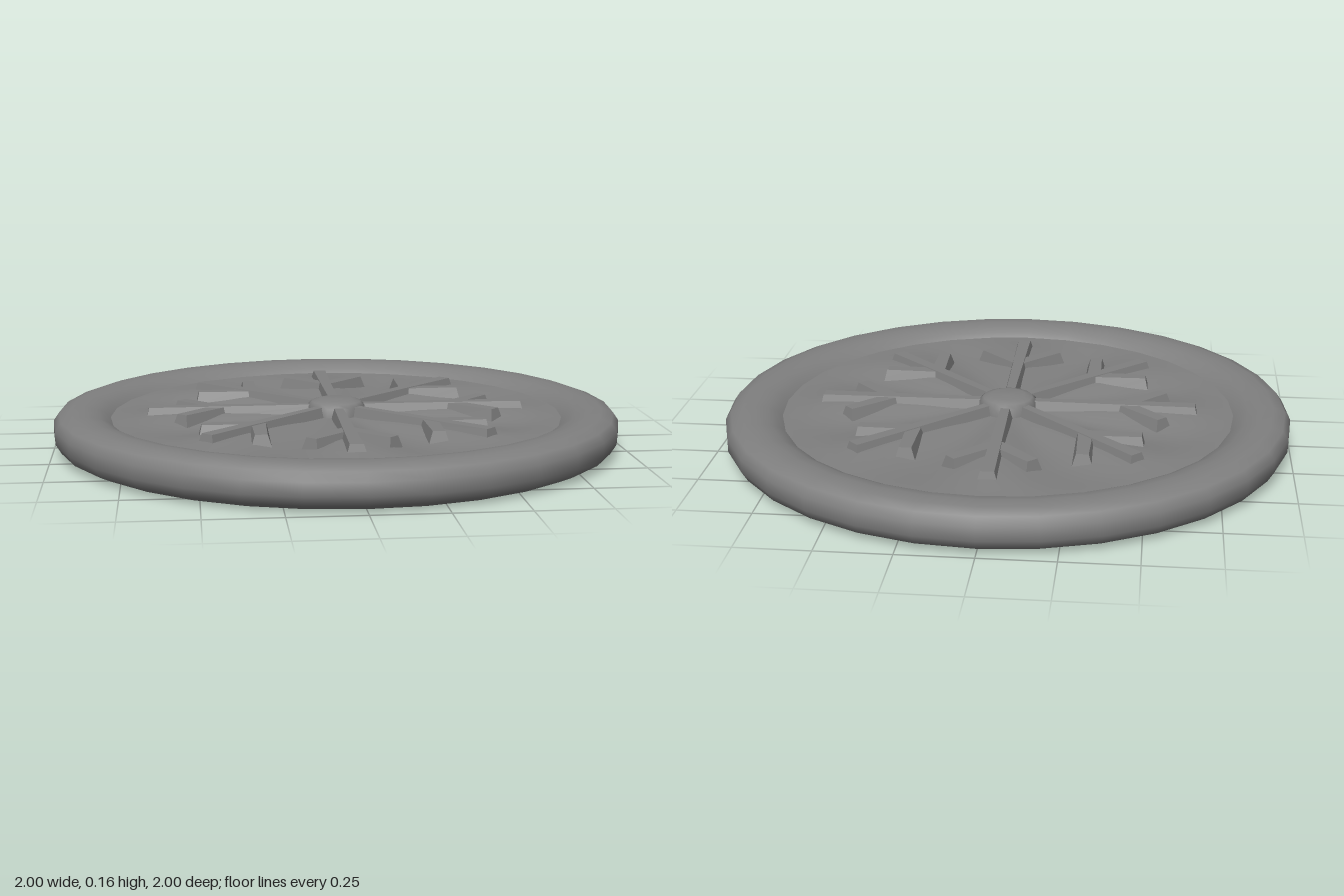
import * as THREE from 'three';
import { toCreasedNormals } from 'three/addons/utils/BufferGeometryUtils.js';

const metal = new THREE.MeshStandardMaterial({ color: 0x808080 });
metal.name = 'grey metal';

const ARMS = 8;
const FLOOR = 0.1; // height of the sunken field between the arms

function part(name, geometry) {
  const mesh = new THREE.Mesh(geometry, metal);
  mesh.name = name;
  return mesh;
}

function lathe(points, segments) {
  return new THREE.LatheGeometry(points.map(([r, y]) => new THREE.Vector2(r, y)), segments);
}

// Rounded rim, from the underside recess round to the top recess
function makeRim() {
  const profile = [
    [0.81, 0.024], [0.835, 0.008], [0.88, 0], [0.94, 0.003], [0.98, 0.022], [1, 0.055],
    [1, 0.1], [0.98, 0.129], [0.94, 0.143], [0.89, 0.145], [0.85, 0.138], [0.82, 0.124], [0.8, 0.108],
  ];
  return part('rim', lathe(profile, 32));
}

// Sunken field that swells gently towards each arm
function makeField() {
  const radii = [0.81, 0.74, 0.66, 0.55, 0.42, 0.3, 0.18, 0.08, 0];
  const geometry = lathe(radii.map((r) => [r, FLOOR + 0.008]), 64);
  const pos = geometry.attributes.position;
  for (let i = 0; i < pos.count; i++) {
    const x = pos.getX(i), z = pos.getZ(i), r = Math.hypot(x, z);
    const fade = THREE.MathUtils.smoothstep(r, 0.1, 0.4) * (1 - THREE.MathUtils.smoothstep(r, 0.6, 0.78));
    const wave = Math.cos(ARMS * Math.atan2(z, x));
    pos.setY(i, FLOOR + 0.008 + fade * 0.014 * wave);
  }
  geometry.computeVertexNormals();
  return part('field', geometry);
}

// Underside with a small round hollow in the middle
function makeUnderside() {
  const profile = [[0, 0.05], [0.06, 0.046], [0.09, 0.034], [0.1, 0.024], [0.104, 0.024], [0.45, 0.024], [0.81, 0.024]];
  return part('underside', toCreasedNormals(lathe(profile, 32), 0.4));
}

// Bar with sloping sides between two points given as [outward, sideways]
function makeRidge(name, [u0, v0], [u1, v1], w0, w1, top) {
  const length = Math.hypot(u1 - u0, v1 - v0);
  const geometry = new THREE.BoxGeometry(length, 1, 1);
  const pos = geometry.attributes.position;
  for (let i = 0; i < pos.count; i++) {
    const upper = pos.getY(i) > 0;
    const outer = pos.getX(i) > 0;
    const half = (outer ? w1 : w0) + (upper ? 0 : 0.016);
    pos.setX(i, outer ? length + (upper ? 0 : 0.012) : 0);
    pos.setY(i, upper ? top : FLOOR - 0.012);
    pos.setZ(i, Math.sign(pos.getZ(i)) * half);
  }
  geometry.computeVertexNormals();
  geometry.rotateY(-Math.atan2(v1 - v0, u1 - u0));
  geometry.translate(u0, 0, v0);
  return part(name, toCreasedNormals(geometry, 0.5));
}

// One snowflake arm with its two side twigs
function makeArm() {
  const arm = new THREE.Group();
  arm.name = 'snowflakeArm';
  arm.add(makeRidge('stem', [0.04, 0], [0.665, 0], 0.015, 0.023, 0.142));
  for (const side of [-1, 1]) {
    arm.add(makeRidge('twig', [0.42, side * 0.005], [0.55, side * 0.135], 0.025, 0.021, 0.139));
  }
  return arm;
}

export function createModel() {
  const model = new THREE.Group();
  model.name = 'snowflakeMedallion';
  model.add(makeRim(), makeField(), makeUnderside());

  for (let i = 0; i < ARMS; i++) {
    const arm = makeArm();
    arm.rotation.y = (i / ARMS) * Math.PI * 2;
    model.add(arm);
  }

  // Domed hub where the arms meet
  const hub = [[0.108, 0.09], [0.104, 0.138], [0.088, 0.152], [0.06, 0.16], [0, 0.162]];
  model.add(part('hub', lathe(hub, 16)));
  return model;
}
